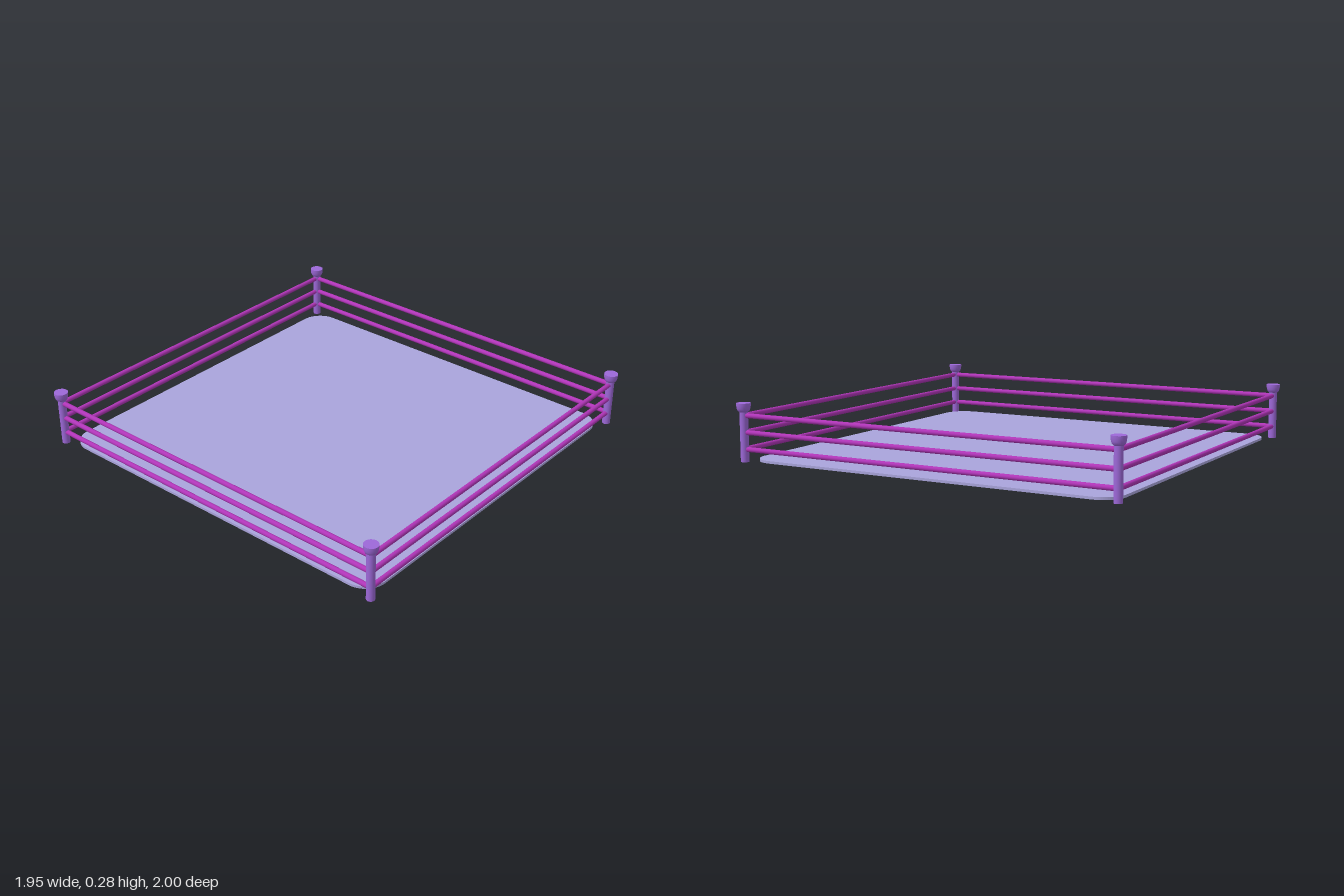
import * as THREE from 'three';

const POST_X = 0.94, POST_Z = 0.966;
const MAT_X = 0.927, MAT_Z = 0.947, MAT_R = 0.11, MAT_H = 0.012;

const violet = new THREE.MeshStandardMaterial({ color: 0x9d68d8 });
const magenta = new THREE.MeshStandardMaterial({ color: 0xb035b8 });
const lavender = new THREE.MeshStandardMaterial({ color: 0xaaa4dc });

function addMesh(parent, name, geometry, material) {
  const mesh = new THREE.Mesh(geometry, material);
  mesh.name = name;
  parent.add(mesh);
  return mesh;
}

// Thin floor slab with rounded corners
function matGeometry() {
  const s = new THREE.Shape();
  const x = MAT_X - MAT_R, z = MAT_Z - MAT_R;
  s.absarc(x, z, MAT_R, 0, Math.PI / 2);
  s.absarc(-x, z, MAT_R, Math.PI / 2, Math.PI);
  s.absarc(-x, -z, MAT_R, Math.PI, Math.PI * 1.5);
  s.absarc(x, -z, MAT_R, Math.PI * 1.5, Math.PI * 2);
  return new THREE.ExtrudeGeometry(s, { depth: MAT_H, bevelEnabled: false, curveSegments: 12 })
    .rotateX(-Math.PI / 2);
}

// Upright with a flat-topped, cup-shaped cap
function createPost() {
  const post = new THREE.Group();
  post.name = 'cornerPost';
  addMesh(post, 'postShaft', new THREE.CylinderGeometry(0.02, 0.02, 0.245, 24), violet)
    .position.y = 0.1225;
  const profile = [[0, 0.237], [0.021, 0.237], [0.028, 0.243], [0.032, 0.254],
    [0.034, 0.268], [0.034, 0.279]].map(([r, y]) => new THREE.Vector2(r, y));
  addMesh(post, 'postCap', new THREE.LatheGeometry(profile, 24), violet);
  addMesh(post, 'postCapTop', new THREE.CircleGeometry(0.034, 24).rotateX(-Math.PI / 2), violet)
    .position.y = 0.279;
  return post;
}

export function createModel() {
  const ring = new THREE.Group();
  ring.name = 'ropedRing';
  addMesh(ring, 'floorMat', matGeometry(), lavender);

  // Four corner posts
  for (const sx of [-1, 1]) {
    for (const sz of [-1, 1]) {
      const post = createPost();
      post.position.set(sx * POST_X, 0, sz * POST_Z);
      ring.add(post);
    }
  }

  // Three ropes on each of the four sides
  const across = new THREE.CylinderGeometry(0.012, 0.012, 2 * POST_X, 16).rotateZ(Math.PI / 2);
  const along = new THREE.CylinderGeometry(0.012, 0.012, 2 * POST_Z, 16).rotateX(Math.PI / 2);
  for (const y of [0.06, 0.14, 0.22]) {
    for (const s of [-1, 1]) {
      addMesh(ring, s > 0 ? 'frontRope' : 'backRope', across, magenta).position.set(0, y, s * POST_Z);
      addMesh(ring, s > 0 ? 'leftRope' : 'rightRope', along, magenta).position.set(s * POST_X, y, 0);
    }
  }
  return ring;
}
